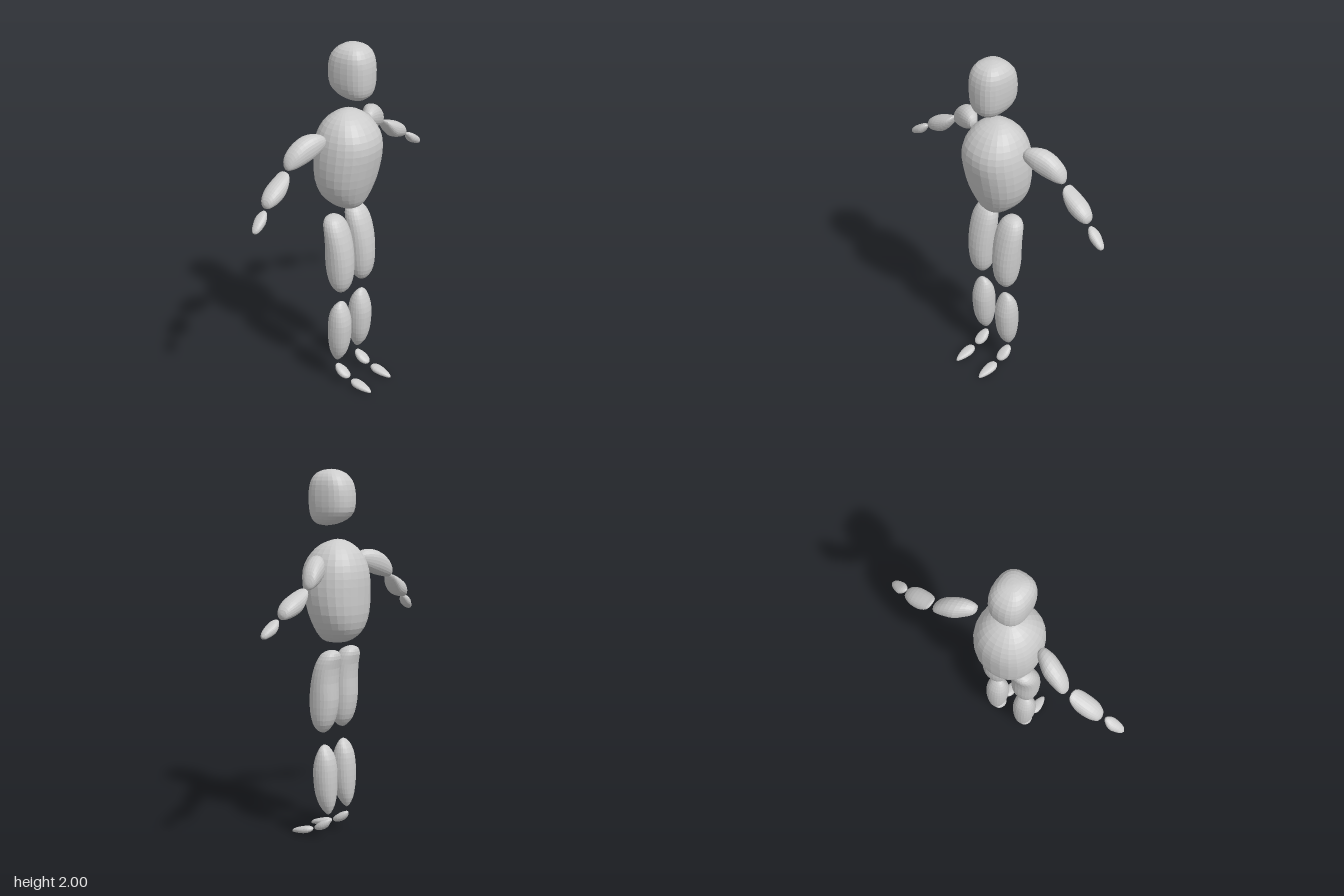
import * as THREE from 'three';

const SIDES = 24;
const material = new THREE.MeshStandardMaterial({ color: 0xcccccc, flatShading: true, side: THREE.FrontSide });

// Lofted pebble along an axis. Each row is [t, aLow, aHigh, bLow, bHigh], where
// (t, a, b) is (x, y, z), (y, z, x) or (z, x, y). 'power' below 1 squares the section.
function pebble(name, axis, rows, { power = 0.9, mirror = 1 } = {}) {
  const low = new THREE.CatmullRomCurve3(rows.map(r => new THREE.Vector3(r[0], r[1], r[3])), false, 'catmullrom');
  const high = new THREE.CatmullRomCurve3(rows.map(r => new THREE.Vector3(r[0], r[2], r[4])), false, 'catmullrom');
  const steps = (rows.length - 1) * 2;
  const first = { x: 0, y: 1, z: 2 }[axis];
  const bend = v => Math.sign(v) * Math.pow(Math.abs(v), power);
  const positions = [], index = [];
  for (let i = 0; i <= steps; i++) {
    const lo = low.getPoint(i / steps), hi = high.getPoint(i / steps);
    for (let j = 0; j < SIDES; j++) {
      const angle = (j / SIDES) * Math.PI * 2;
      const p = [0, 0, 0];
      p[first] = lo.x;
      p[(first + 1) % 3] = (lo.y + hi.y) / 2 + bend(Math.cos(angle)) * (hi.y - lo.y) / 2;
      p[(first + 2) % 3] = (lo.z + hi.z) / 2 + bend(Math.sin(angle)) * (hi.z - lo.z) / 2;
      positions.push(p[0] * mirror, p[1], p[2]);
    }
  }
  const tri = (a, b, c) => (mirror > 0 ? index.push(a, b, c) : index.push(a, c, b));
  for (let i = 0; i < steps; i++) {
    for (let j = 0; j < SIDES; j++) {
      const a = i * SIDES + j, b = i * SIDES + (j + 1) % SIDES;
      if (i > 0) tri(a, b, a + SIDES);
      if (i < steps - 1) tri(b, b + SIDES, a + SIDES);
    }
  }
  const geometry = new THREE.BufferGeometry();
  geometry.setAttribute('position', new THREE.Float32BufferAttribute(positions, 3));
  geometry.setIndex(index);
  geometry.computeVertexNormals();
  const mesh = new THREE.Mesh(geometry, material);
  mesh.name = name;
  return mesh;
}

// Upright rows [y, zBack, zFront, halfWidth] around a centre x
const upright = (cx, rows) => rows.map(([y, zb, zf, w]) => [y, zb, zf, cx - w, cx + w]);
// Foot rows [z, halfWidth, yLow, yHigh] around a centre x
const lengthwise = (cx, rows) => rows.map(([z, w, y0, y1]) => [z, cx - w, cx + w, y0, y1]);

const HEAD = upright(0, [
  [1.70, 0.035, 0.035, 0], [1.709, -0.02, 0.08, 0.05], [1.735, -0.08, 0.108, 0.08],
  [1.775, -0.117, 0.12, 0.097], [1.83, -0.126, 0.124, 0.104], [1.89, -0.122, 0.122, 0.104],
  [1.94, -0.105, 0.11, 0.096], [1.977, -0.07, 0.083, 0.072], [1.995, -0.03, 0.042, 0.036], [2.0, 0.005, 0.005, 0],
]);

const TORSO = upright(0, [
  [1.073, -0.03, -0.03, 0], [1.082, -0.09, 0.03, 0.055], [1.11, -0.14, 0.062, 0.095],
  [1.16, -0.178, 0.085, 0.138], [1.24, -0.198, 0.113, 0.172], [1.34, -0.202, 0.137, 0.185],
  [1.43, -0.201, 0.15, 0.181], [1.5, -0.187, 0.138, 0.166], [1.56, -0.157, 0.1, 0.135],
  [1.6, -0.115, 0.055, 0.095], [1.625, -0.07, 0.0, 0.045], [1.632, -0.035, -0.035, 0],
]);

const THIGH = upright(0.097, [
  [0.59, -0.008, -0.008, 0], [0.602, -0.03, 0.022, 0.03], [0.64, -0.06, 0.048, 0.057],
  [0.70, -0.08, 0.062, 0.071], [0.78, -0.09, 0.065, 0.078], [0.87, -0.087, 0.054, 0.081],
  [0.95, -0.092, 0.033, 0.079], [1.0, -0.102, 0.011, 0.069], [1.03, -0.097, -0.012, 0.05],
  [1.044, -0.08, -0.04, 0.022], [1.047, -0.06, -0.06, 0],
]);

const SHIN = upright(0.095, [
  [0.135, -0.037, -0.037, 0], [0.148, -0.052, -0.017, 0.016], [0.19, -0.071, 0.015, 0.039],
  [0.25, -0.08, 0.036, 0.056], [0.32, -0.083, 0.045, 0.064], [0.39, -0.08, 0.047, 0.065],
  [0.45, -0.069, 0.035, 0.058], [0.495, -0.046, 0.017, 0.042], [0.518, -0.024, 0.002, 0.02], [0.525, -0.01, -0.01, 0],
]);

const HEEL = lengthwise(0.094, [
  [-0.046, 0, 0.1, 0.1], [-0.038, 0.018, 0.076, 0.109], [-0.02, 0.029, 0.055, 0.105], [0.005, 0.034, 0.043, 0.094],
  [0.03, 0.028, 0.039, 0.076], [0.045, 0.015, 0.043, 0.063], [0.05, 0, 0.052, 0.052],
]);

const TOE = lengthwise(0.096, [
  [0.064, 0, 0.036, 0.036], [0.074, 0.019, 0.022, 0.047], [0.1, 0.031, 0.009, 0.049], [0.14, 0.029, 0.003, 0.04],
  [0.175, 0.019, 0.001, 0.028], [0.194, 0.009, 0.001, 0.017], [0.202, 0, 0.007, 0.007],
]);

// Arm rows [x, yLow, yHigh, zBack, zFront]
const UPPER_ARM = [
  [0.188, 1.515, 1.515, -0.05, -0.05], [0.2, 1.483, 1.543, -0.075, -0.02], [0.235, 1.455, 1.56, -0.105, -0.016],
  [0.28, 1.43, 1.56, -0.135, -0.022], [0.33, 1.412, 1.541, -0.147, -0.04], [0.37, 1.403, 1.51, -0.151, -0.058],
  [0.395, 1.4, 1.477, -0.147, -0.078], [0.408, 1.405, 1.445, -0.13, -0.095], [0.412, 1.425, 1.425, -0.112, -0.112],
];

const FOREARM = [
  [0.43, 1.404, 1.404, -0.105, -0.105], [0.437, 1.378, 1.411, -0.135, -0.075], [0.46, 1.336, 1.404, -0.148, -0.057],
  [0.5, 1.292, 1.391, -0.152, -0.047], [0.55, 1.275, 1.369, -0.148, -0.045], [0.585, 1.269, 1.345, -0.136, -0.053],
  [0.607, 1.271, 1.32, -0.12, -0.068], [0.615, 1.294, 1.294, -0.095, -0.095],
];

const HAND = [
  [0.625, 1.267, 1.267, -0.08, -0.08], [0.633, 1.247, 1.275, -0.094, -0.063], [0.655, 1.215, 1.271, -0.106, -0.047],
  [0.68, 1.199, 1.257, -0.107, -0.042], [0.71, 1.187, 1.236, -0.094, -0.043], [0.73, 1.186, 1.215, -0.082, -0.051],
  [0.739, 1.198, 1.198, -0.066, -0.066],
];

export function createModel() {
  const figure = new THREE.Group();
  figure.name = 'figure';
  figure.add(pebble('head', 'y', HEAD, { power: 0.8 }), pebble('torso', 'y', TORSO));

  // Limbs, mirrored across x
  for (const [side, mirror] of [['left', 1], ['right', -1]]) {
    const arm = new THREE.Group();
    arm.name = side + 'Arm';
    arm.add(
      pebble(side + 'UpperArm', 'x', UPPER_ARM, { mirror }),
      pebble(side + 'Forearm', 'x', FOREARM, { mirror }),
      pebble(side + 'Hand', 'x', HAND, { mirror }),
    );
    const leg = new THREE.Group();
    leg.name = side + 'Leg';
    leg.add(
      pebble(side + 'Thigh', 'y', THIGH, { mirror }),
      pebble(side + 'Shin', 'y', SHIN, { mirror }),
      pebble(side + 'Heel', 'z', HEEL, { mirror }),
      pebble(side + 'Toe', 'z', TOE, { mirror }),
    );
    figure.add(arm, leg);
  }
  return figure;
}
